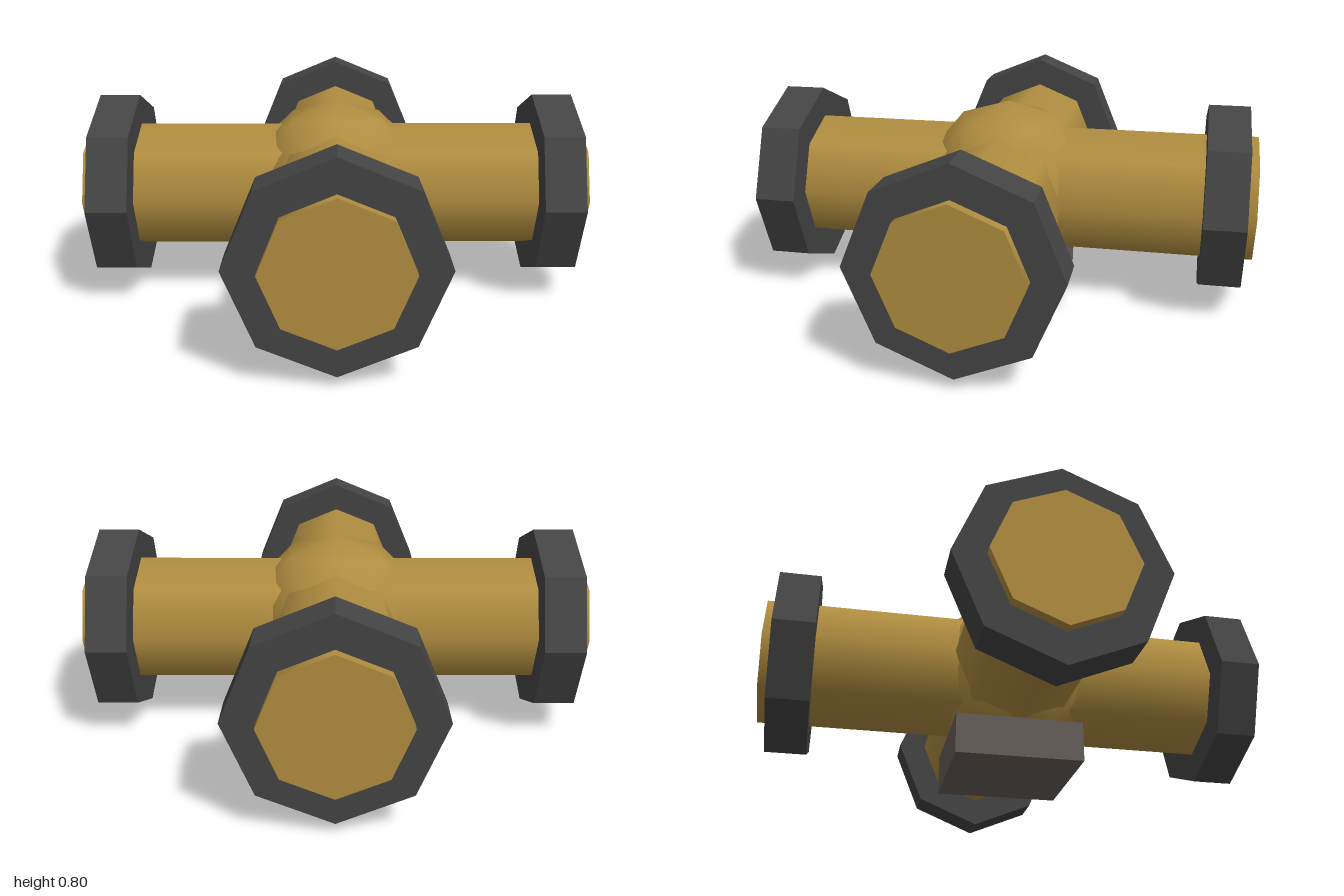
import * as THREE from 'three';

export function createModel() {
  const model = new THREE.Group();
  const brass = new THREE.MeshStandardMaterial({ color: 0xb08d40 });
  brass.name = 'brass';
  const iron = new THREE.MeshStandardMaterial({ color: 0x444444 });
  iron.name = 'dark iron';
  const stone = new THREE.MeshStandardMaterial({ color: 0x665e5a });
  stone.name = 'grey base';

  const axisY = 0.42;
  const add = (name, geometry, material, parent = model) => {
    const mesh = new THREE.Mesh(geometry, material);
    mesh.name = name;
    parent.add(mesh);
    return mesh;
  };
  // Faceted parts get one normal per face
  const faceted = (geometry) => {
    const flat = geometry.toNonIndexed();
    flat.computeVertexNormals();
    return flat;
  };

  // Mounting block under the junction
  add('base', new THREE.BoxGeometry(0.5, 0.16, 0.5), stone).position.y = 0.08;

  // Faceted ball where the pipes meet
  const hub = add('hub', new THREE.IcosahedronGeometry(0.36, 1), brass);
  hub.position.y = axisY;
  hub.rotation.y = Math.PI / 2;

  // Two crossing octagonal pipes, each with a flange near both ends
  const pipeGeometry = new THREE.CylinderGeometry(0.26, 0.26, 2, 8).rotateX(Math.PI / 2);
  const flangeGeometry = faceted(new THREE.CylinderGeometry(0.38, 0.38, 0.16, 8).rotateX(Math.PI / 2));
  for (const [name, turn] of [['lengthwisePipe', 0], ['crosswisePipe', Math.PI / 2]]) {
    const arm = new THREE.Group();
    arm.name = name;
    arm.position.y = axisY;
    arm.rotation.y = turn;
    add('pipe', pipeGeometry, brass, arm);
    for (const side of [-1, 1]) add('flange', flangeGeometry, iron, arm).position.z = side * 0.88;
    model.add(arm);
  }
  return model;
}
